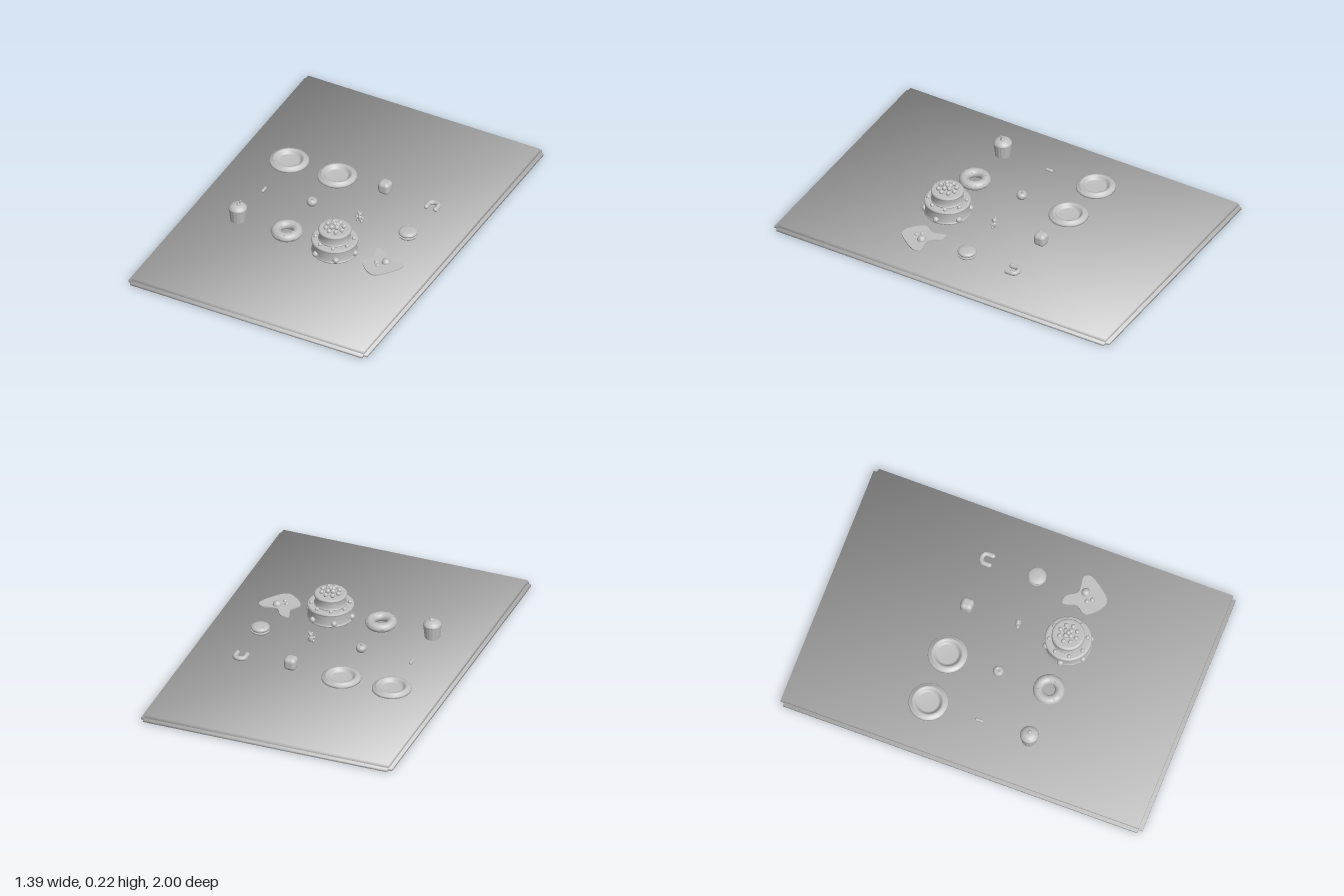
import * as THREE from 'three';
import { RoundedBoxGeometry } from 'three/addons/geometries/RoundedBoxGeometry.js';

const TOP = 0.035; // height of the board's upper face
const V2 = (p) => new THREE.Vector2(p[0], p[1]);
const V3 = (x, y, z) => new THREE.Vector3(x, y, z);

export function createModel() {
  const clay = new THREE.MeshStandardMaterial({ color: 0xc0c0c0 });
  clay.name = 'plain grey';
  const model = new THREE.Group();
  model.name = 'bakeryBoard';

  const add = (parent, name, geometry, x = 0, y = 0, z = 0) => {
    const mesh = new THREE.Mesh(geometry, clay);
    mesh.name = name;
    mesh.position.set(x, y, z);
    parent.add(mesh);
    return mesh;
  };
  const item = (name, x, z) => {
    const group = new THREE.Group();
    group.name = name;
    group.position.set(x, TOP, z);
    model.add(group);
    return group;
  };
  const lathe = (profile, sides = 40) => new THREE.LatheGeometry(profile.map(V2), sides);
  const ball = (r) => new THREE.SphereGeometry(r, 18, 12);
  const ring = (parent, name, count, r, y, size, start = 0) => {
    for (let i = 0; i < count; i++) {
      const a = start + (i / count) * Math.PI * 2;
      add(parent, name, ball(size), r * Math.cos(a), y, r * Math.sin(a));
    }
  };

  // Board: core slab with a low ledge on each side, normals shared at the corners
  const slab = (name, w, d, y0, y1) => {
    const g = new THREE.BoxGeometry(w, y1 - y0, d);
    const p = g.attributes.position;
    const n = V3(0, 0, 0);
    for (let i = 0; i < p.count; i++) {
      n.set(Math.sign(p.getX(i)), Math.sign(p.getY(i)), Math.sign(p.getZ(i))).normalize();
      g.attributes.normal.setXYZ(i, n.x, n.y, n.z);
    }
    add(model, name, g, 0, (y0 + y1) / 2, 0);
  };
  slab('board', 1.355, 1.96, 0, TOP);
  slab('boardSideLedge', 1.392, 1.958, 0.001, 0.014);
  slab('boardEndLedge', 1.353, 2, 0.002, 0.015);

  // Two plates with a raised rim and a sunken middle
  for (const x of [-0.42, -0.14]) {
    const plate = item('plate', x, -0.28);
    add(plate, 'plateDish', lathe([
      [0, 0], [0.095, 0], [0.103, 0.004], [0.103, 0.012], [0.098, 0.017], [0.09, 0.019],
      [0.086, 0.025], [0.08, 0.027], [0.072, 0.026], [0.066, 0.018], [0.06, 0.01], [0.052, 0.007], [0, 0.007],
    ], 48));
  }

  // Marshmallow
  add(item('marshmallow', 0.14, -0.28), 'marshmallowBody',
    new RoundedBoxGeometry(0.066, 0.07, 0.066, 5, 0.022), 0, 0.036, 0);

  // Curved sweet lying flat, open towards the front
  const arch = item('archSweet', 0.42, -0.28);
  const path = [[-0.027, 0.026], [-0.027, -0.003]];
  for (let i = 1; i < 8; i++) {
    const a = Math.PI * (1 - i / 8);
    path.push([0.027 * Math.cos(a), -0.005 - 0.02 * Math.sin(a)]);
  }
  path.push([0.027, -0.003], [0.027, 0.026]);
  const curve = new THREE.CatmullRomCurve3(path.map(([x, z]) => V3(x, 0.013, z)));
  add(arch, 'archTube', new THREE.TubeGeometry(curve, 40, 0.013, 14));
  for (const s of [-1, 1]) add(arch, 'archEnd', ball(0.013), s * 0.027, 0.013, 0.026);

  // Single sprinkle
  add(item('sprinkle', -0.42, 0), 'sprinkleRod', new THREE.CapsuleGeometry(0.008, 0.028, 6, 14), 0, 0.008, 0)
    .rotation.x = Math.PI / 2;

  // Cherry with a dimple and a short stem
  const cherry = item('cherry', -0.14, 0);
  add(cherry, 'cherryFruit', lathe([
    [0, 0], [0.01, 0.002], [0.02, 0.01], [0.027, 0.022], [0.028, 0.032], [0.024, 0.042], [0.016, 0.047], [0.008, 0.045], [0, 0.041],
  ], 28));
  add(cherry, 'cherryStem', new THREE.CylinderGeometry(0.004, 0.003, 0.014, 10), 0, 0.047, 0);

  // Small jelly bear
  const bear = item('jellyBear', 0.14, 0);
  add(bear, 'bearBody', ball(0.014), 0, 0.022, 0).scale.set(1, 1.3, 0.85);
  add(bear, 'bearHead', ball(0.012), 0, 0.047, 0);
  add(bear, 'bearMuzzle', ball(0.005), 0, 0.045, 0.01);
  for (const s of [-1, 1]) {
    add(bear, 'bearEar', ball(0.005), s * 0.009, 0.057, 0);
    add(bear, 'bearArm', ball(0.007), s * 0.015, 0.028, 0.005);
    add(bear, 'bearLeg', ball(0.008), s * 0.011, 0.008, 0.005);
  }

  // Macaron: two shells with filling between
  const macaron = item('macaron', 0.42, 0);
  add(macaron, 'macaronBottom', lathe([[0, 0], [0.038, 0], [0.046, 0.005], [0.049, 0.011], [0.048, 0.016], [0, 0.016]]));
  add(macaron, 'macaronFilling', new THREE.CylinderGeometry(0.043, 0.043, 0.01, 40), 0, 0.02, 0);
  add(macaron, 'macaronTop', lathe([[0, 0.024], [0.048, 0.024], [0.049, 0.029], [0.046, 0.036], [0.036, 0.041], [0.018, 0.043], [0, 0.043]]));

  // Cupcake: pleated cup, domed icing, cherry and stem
  const cupcake = item('cupcake', -0.425, 0.28);
  const cup = new THREE.CylinderGeometry(0.047, 0.039, 0.072, 64, 1);
  const cp = cup.attributes.position;
  for (let i = 0; i < cp.count; i++) {
    const k = 1 + 0.025 * Math.cos(16 * Math.atan2(cp.getZ(i), cp.getX(i)));
    cp.setX(i, cp.getX(i) * k);
    cp.setZ(i, cp.getZ(i) * k);
  }
  cup.computeVertexNormals();
  add(cupcake, 'cupcakeCup', cup, 0, 0.036, 0);
  add(cupcake, 'cupcakeIcing', lathe([
    [0, 0.068], [0.044, 0.068], [0.049, 0.073], [0.047, 0.08], [0.04, 0.089], [0.028, 0.097], [0.014, 0.1], [0, 0.101],
  ]));
  add(cupcake, 'cupcakeCherry', ball(0.011), 0.005, 0.1, 0);
  add(cupcake, 'cupcakeStem', new THREE.CylinderGeometry(0.004, 0.004, 0.026, 10), 0.012, 0.115, 0).rotation.z = -0.2;

  // Ring doughnut with wavy icing and sprinkles
  const donut = item('doughnut', -0.14, 0.28);
  const flat = (g) => g.rotateX(-Math.PI / 2);
  add(donut, 'doughnutRing', flat(new THREE.TorusGeometry(0.057, 0.024, 18, 48)), 0, 0.024, 0);
  const icing = flat(new THREE.TorusGeometry(0.057, 0.026, 18, 64));
  const ip = icing.attributes.position;
  for (let i = 0; i < ip.count; i++) {
    const wave = 0.003 * Math.sin(7 * Math.atan2(ip.getZ(i), ip.getX(i)));
    ip.setY(i, Math.max(ip.getY(i), wave));
  }
  icing.computeVertexNormals();
  add(donut, 'doughnutIcing', icing, 0, 0.024, 0);
  for (let i = 0; i < 16; i++) {
    const a = i * 2.4, t = 0.6 + 0.48 * (i % 5);
    const r = 0.057 + 0.026 * Math.cos(t);
    const s = add(donut, 'doughnutSprinkle', new THREE.CapsuleGeometry(0.002, 0.006, 3, 8),
      r * Math.cos(a), 0.024 + 0.026 * Math.sin(t), r * Math.sin(a));
    s.rotation.set(Math.PI / 2, 0, i * 1.3);
  }

  // Two-tier cake with beaded trim and berries
  const cake = item('cake', 0.14, 0.28);
  const tier = (name, r, y, h) => add(cake, name, lathe([
    [0, 0], [r, 0], [r + 0.003, 0.004], [r + 0.003, 0.009], [r - 0.003, 0.014], [r - 0.003, h - 0.018],
    [r + 0.003, h - 0.013], [r + 0.003, h - 0.005], [r - 0.003, h], [r - 0.012, h], [0, h],
  ], 56), 0, y, 0);
  tier('cakeLowerTier', 0.119, 0, 0.08);
  tier('cakeUpperTier', 0.083, 0.078, 0.064);
  ring(cake, 'cakeLargeBead', 6, 0.118, 0.022, 0.016);
  ring(cake, 'cakeSmallBead', 8, 0.1, 0.084, 0.011, Math.PI / 8);
  ring(cake, 'cakeOuterBerry', 8, 0.047, 0.15, 0.012, 0.2);
  ring(cake, 'cakeInnerBerry', 4, 0.019, 0.157, 0.013, 0.5);
  add(cake, 'cakeTopBerry', ball(0.012), 0, 0.168, 0);

  // Splat of icing with three drops on it
  const splat = item('splat', 0.42, 0.28);
  const outline = [
    [-0.088, -0.105], [-0.045, -0.105], [0, -0.05], [0.09, -0.053], [0.104, -0.024],
    [0.056, 0.058], [0.005, 0.106], [-0.04, 0.095], [-0.103, 0.025], [-0.072, -0.035],
  ].map(([x, z]) => V3(x, -z, 0));
  const rim = new THREE.CatmullRomCurve3(outline, true).getPoints(80).slice(0, -1);
  const shape = new THREE.Shape(rim.map((p) => new THREE.Vector2(p.x, p.y)));
  add(splat, 'splatSheet', flat(new THREE.ExtrudeGeometry(shape, { depth: 0.007, bevelEnabled: false })), 0, 0.004, 0);
  for (const [x, z, r] of [[0.011, -0.015, 0.023], [-0.034, 0.008, 0.012], [-0.015, 0.031, 0.011]]) {
    add(splat, 'splatDrop', ball(r), x, 0.011, z);
  }

  return model;
}
